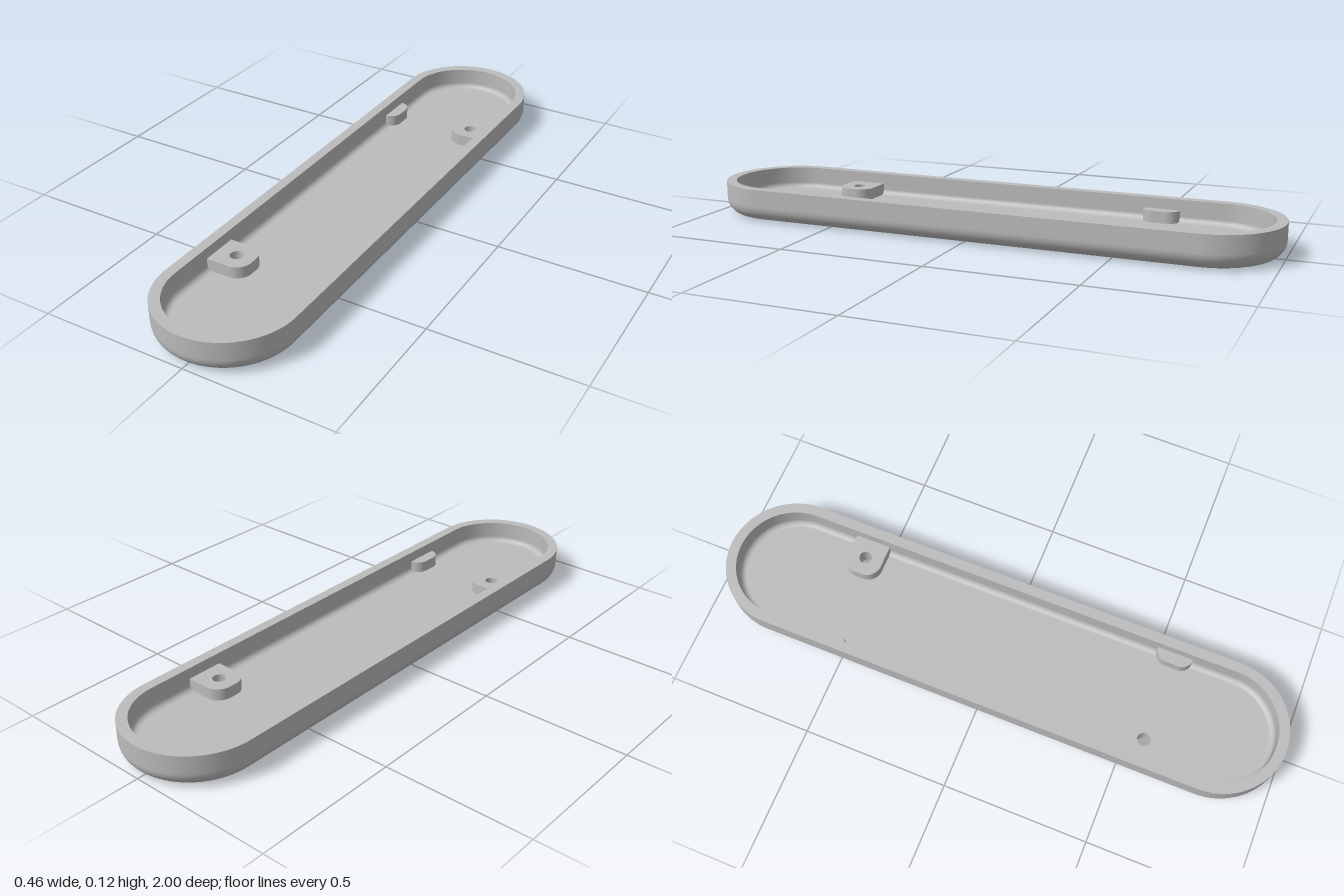
import * as THREE from 'three';

const R = 0.23, WALL = 0.035, HEIGHT = 0.115, FLOOR = 0.038, STRAIGHT = 0.77;
const FILLET = 0.055, INNER_FILLET = 0.02;
const BOSS_TOP = 0.078, HOLE_X = 0.128, HOLE_Z = 0.558, HOLE_R = 0.022, SINK_R = 0.042, SINK_Y = 0.015;
const ARC = 40;

// Outline with two round ends, as [x, z] pairs
function outline(r) {
  const pts = [];
  for (const end of [0, 1]) {
    for (let i = 0; i <= ARC; i++) {
      const a = Math.PI * (end + i / ARC);
      pts.push(new THREE.Vector2(r * Math.cos(a), r * Math.sin(a) + (end ? -STRAIGHT : STRAIGHT)));
    }
  }
  return pts;
}

// Sweeps a profile of [radius, y] points around the outline
function sweep(profile) {
  const pos = [], index = [];
  const n = 2 * (ARC + 1);
  profile.forEach(([r, y], i) => {
    outline(r).forEach((p, j) => {
      pos.push(p.x, y, p.y);
      if (i === profile.length - 1) return;
      const a = i * n + j, b = i * n + (j + 1) % n;
      index.push(a, a + n, b, b, a + n, b + n);
    });
  });
  const g = new THREE.BufferGeometry();
  g.setAttribute('position', new THREE.Float32BufferAttribute(pos, 3));
  g.setIndex(index);
  g.computeVertexNormals();
  return g;
}

// Quarter-round profile from the flat (t = 0) to the wall (t = 1)
function quarter(r, y, f) {
  return Array.from({ length: 13 }, (_, i) => {
    const a = (i / 12) * Math.PI / 2;
    return [r - f + f * Math.sin(a), y + f - f * Math.cos(a)];
  });
}

function circle(x, y, r) {
  return new THREE.Path().absarc(x, y, r, 0, Math.PI * 2, true);
}

// Flat panel with two screw holes; side is +1 facing up, -1 facing down
function panel(r, y, holeR, side) {
  const shape = new THREE.Shape(outline(r));
  for (const s of [1, -1]) shape.holes.push(circle(s * HOLE_X, s * side * HOLE_Z, holeR));
  return new THREE.ShapeGeometry(shape, 24).rotateX(-side * Math.PI / 2).translate(0, y, 0);
}

// Raised block growing from the +x wall, with rounded free corners
function boss(tip, z, corner, hole) {
  const w = 0.0625, back = 0.205, c = -z;
  const s = new THREE.Shape();
  s.moveTo(back, c - w);
  s.lineTo(back, c + w);
  s.lineTo(tip + corner, c + w);
  s.absarc(tip + corner, c + w - corner, corner, Math.PI / 2, Math.PI, false);
  s.lineTo(tip, c - w + corner);
  s.absarc(tip + corner, c - w + corner, corner, Math.PI, Math.PI * 1.5, false);
  if (hole) s.holes.push(circle(HOLE_X, c, HOLE_R));
  const base = FLOOR - 0.002;
  return new THREE.ExtrudeGeometry(s, { depth: BOSS_TOP - base, bevelEnabled: false, curveSegments: 20 })
    .rotateX(-Math.PI / 2).translate(0, base, 0);
}

export function createModel() {
  const model = new THREE.Group();
  model.name = 'tray';
  const grey = new THREE.MeshStandardMaterial({ color: 0xbcbcbc, side: THREE.DoubleSide });
  grey.name = 'grey';
  const add = (parent, name, geometry) => {
    const mesh = new THREE.Mesh(geometry, grey);
    mesh.name = name;
    parent.add(mesh);
    return mesh;
  };

  // Shell: outer wall, rim, inner wall and the two flat panels
  const inner = R - WALL;
  add(model, 'outerWall', sweep([...quarter(R, 0, FILLET), [R, HEIGHT]]));
  add(model, 'rim', sweep([[R, HEIGHT], [inner, HEIGHT]]));
  add(model, 'innerWall', sweep([[inner, HEIGHT], ...quarter(inner, FLOOR, INNER_FILLET).reverse()]));
  add(model, 'bottom', panel(R - FILLET, 0, SINK_R, -1));
  add(model, 'floor', panel(inner - INNER_FILLET, FLOOR, HOLE_R, 1));

  // Screw bosses and short lugs, repeated by a half turn
  for (const turn of [0, Math.PI]) {
    const half = new THREE.Group();
    half.name = turn ? 'rightMounts' : 'leftMounts';
    half.rotation.y = turn;
    model.add(half);
    add(half, 'screwBoss', boss(0.065, -HOLE_Z, 0.05, true));
    add(half, 'lug', boss(0.155, HOLE_Z, 0.04, false));
    const lathe = (...pts) => new THREE.LatheGeometry(pts.map(([r, y]) => new THREE.Vector2(r, y)), 32)
      .translate(HOLE_X, 0, -HOLE_Z);
    add(half, 'screwBore', lathe([HOLE_R, FLOOR], [HOLE_R, SINK_Y]));
    add(half, 'countersink', lathe([HOLE_R, SINK_Y], [SINK_R, 0]));
  }
  return model;
}
